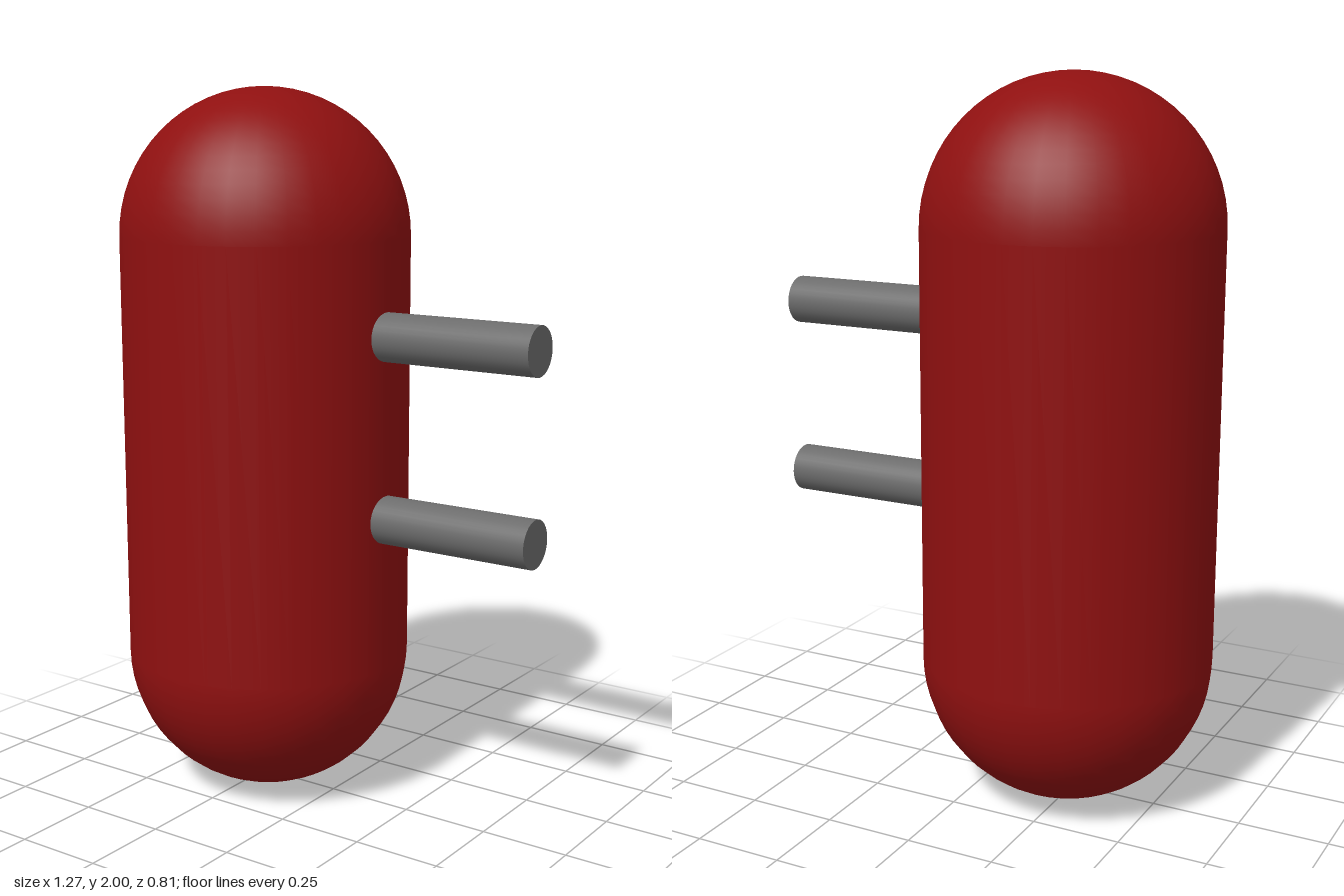
import * as THREE from 'three';

export function createModel() {
  const model = new THREE.Group();
  model.name = 'capsuleWithPegs';

  const red = new THREE.MeshStandardMaterial({ color: 0x8f1010 });
  const grey = new THREE.MeshStandardMaterial({ color: 0x6c6c6c });

  const radius = 0.405;
  const centreX = -0.23;

  // Upright body with domed ends
  const body = new THREE.Mesh(new THREE.CapsuleGeometry(radius, 2 - 2 * radius, 16, 32), red);
  body.name = 'body';
  body.position.set(centreX, 1, 0);
  model.add(body);

  // Two round pegs, rooted just inside the body wall
  const rootX = centreX + radius - 0.03;
  const tipX = 0.635;
  const pegGeometry = new THREE.CylinderGeometry(0.067, 0.067, tipX - rootX, 32);
  pegGeometry.rotateZ(-Math.PI / 2);
  for (const [name, y] of [['upperPeg', 1.34], ['lowerPeg', 0.835]]) {
    const peg = new THREE.Mesh(pegGeometry, grey);
    peg.name = name;
    peg.position.set((rootX + tipX) / 2, y, 0);
    model.add(peg);
  }

  return model;
}
